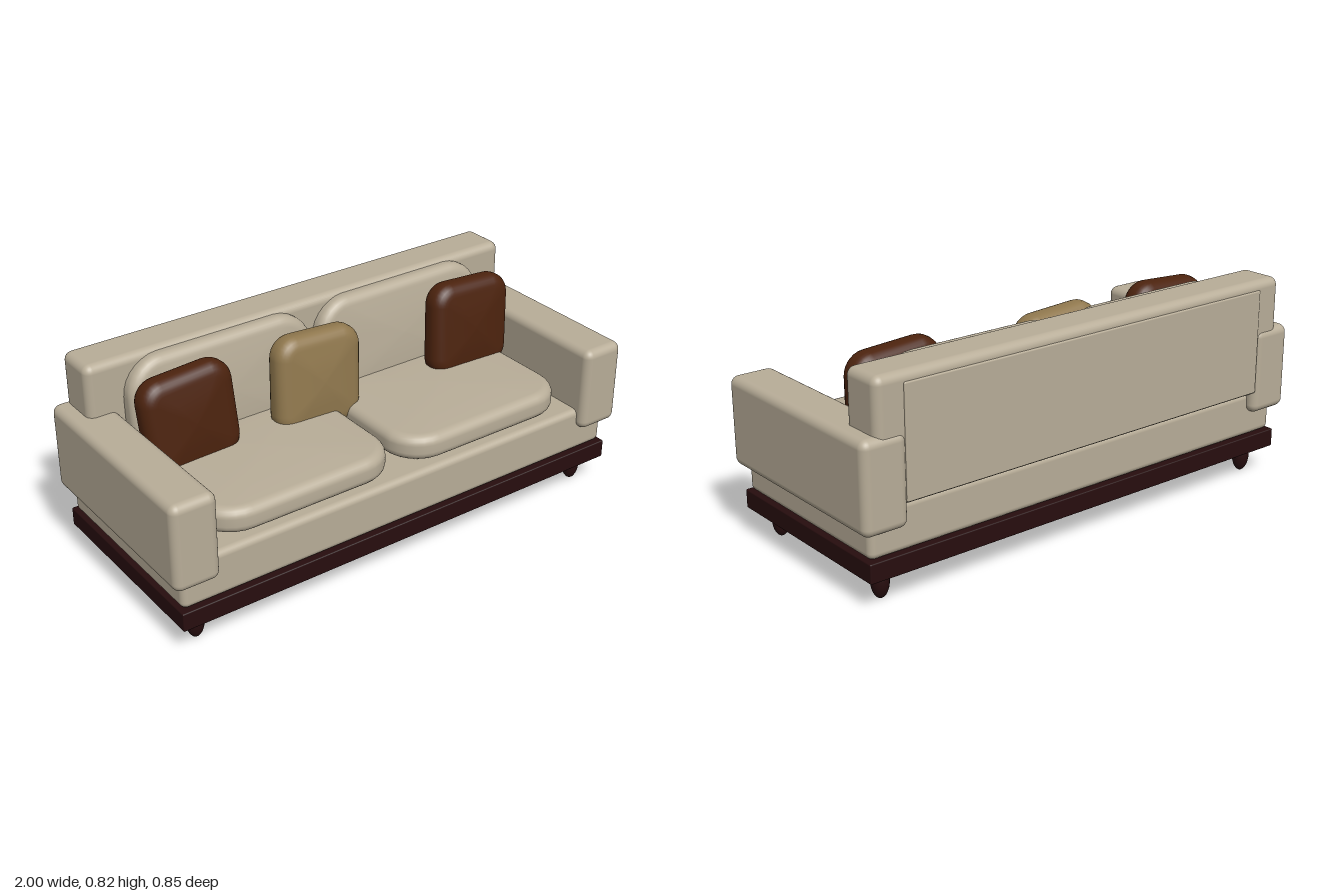
import * as THREE from 'three';
import { RoundedBoxGeometry } from 'three/addons/geometries/RoundedBoxGeometry.js';

const flat = (name, color) => {
  const m = new THREE.MeshStandardMaterial({ color });
  m.name = name;
  return m;
};

// Soft cushion: rounded-rectangle rings in XY, rounded edge, gently domed faces along Z
function cushionGeometry(w, h, d, corner, edge, puff) {
  const rings = [];
  const steps = 6;
  const dome = [0.66, 0.33, 0.02];
  const half = d / 2 - puff;
  const front = [];
  for (let i = 0; i <= steps; i++) {
    const a = (i / steps) * Math.PI / 2;
    front.push({ inset: edge * (1 - Math.cos(a)), z: half - edge * 0.9 + edge * 0.9 * Math.sin(a), s: 1 });
  }
  for (const s of dome) front.push({ inset: edge, z: half + puff * (1 - s * s), s });
  for (const p of [...front].reverse()) rings.push({ ...p, z: -p.z });
  rings.push(...front);

  const pos = [], idx = [], per = 8, n = per * 4;
  for (const { inset, z, s } of rings) {
    const r = corner - inset;
    for (let k = 0; k < n; k++) {
      const q = Math.floor(k / per);
      const a = (q + (k % per) / (per - 1)) * Math.PI / 2;
      const sx = q === 0 || q === 3 ? 1 : -1, sy = q < 2 ? 1 : -1;
      pos.push(s * (sx * (w / 2 - corner) + r * Math.cos(a)), s * (sy * (h / 2 - corner) + r * Math.sin(a)), z);
    }
  }
  for (let j = 0; j < rings.length - 1; j++) {
    for (let k = 0; k < n; k++) {
      const a = j * n + k, b = j * n + (k + 1) % n;
      idx.push(a, b, b + n, a, b + n, a + n);
    }
  }
  // close the small centres
  const last = (rings.length - 1) * n;
  for (let k = 1; k < n - 1; k++) idx.push(0, k + 1, k, last, last + k, last + k + 1);
  const g = new THREE.BufferGeometry();
  g.setAttribute('position', new THREE.Float32BufferAttribute(pos, 3));
  g.setIndex(idx);
  g.computeVertexNormals();
  return g;
}

export function createModel() {
  const sofa = new THREE.Group();
  sofa.name = 'sofa';
  const fabric = flat('beige fabric', 0xb8ad98);
  const brown = flat('brown fabric', 0x4c230e);
  const tan = flat('tan fabric', 0x8f774d);
  const wood = flat('dark wood', 0x270d0e);

  const add = (name, geometry, material, x, y, z) => {
    const mesh = new THREE.Mesh(geometry, material);
    mesh.name = name;
    mesh.position.set(x, y, z);
    sofa.add(mesh);
    return mesh;
  };
  // rounded block given by its limits
  const block = (name, material, [x0, x1], [y0, y1], [z0, z1], r) =>
    add(name, new RoundedBoxGeometry(x1 - x0, y1 - y0, z1 - z0, 4, r), material,
      (x0 + x1) / 2, (y0 + y1) / 2, (z0 + z1) / 2);

  // frame
  block('plinth', wood, [-0.97, 0.97], [0.107, 0.18], [-0.402, 0.405], 0.005);
  block('seatBase', fabric, [-0.96, 0.96], [0.18, 0.36], [-0.388, 0.39], 0.025);
  block('backrest', fabric, [-0.94, 0.94], [0.355, 0.82], [-0.418, -0.24], 0.032);
  block('backPanel', fabric, [-0.83, 0.83], [0.37, 0.785], [-0.424, -0.40], 0.006);

  // legs
  const legGeometry = new THREE.SphereGeometry(1, 20, 14).scale(0.034, 0.07, 0.034);
  for (const x of [-0.88, 0.88])
    for (const z of [-0.318, 0.32]) add('leg', legGeometry, wood, x, 0.07, z);

  // arms, seat cushions and back cushions, left and right
  const seatGeometry = cushionGeometry(0.78, 0.63, 0.118, 0.15, 0.04, 0.008);
  const backGeometry = cushionGeometry(0.78, 0.42, 0.12, 0.14, 0.04, 0.01);
  for (const s of [-1, 1]) {
    const side = s > 0 ? 'left' : 'right';
    block(side + 'Arm', fabric, s > 0 ? [0.822, 1] : [-1, -0.822], [0.28, 0.62], [-0.426, 0.426], 0.032);
    const x = s * 0.405 - 0.005;
    add(side + 'SeatCushion', seatGeometry, fabric, x, 0.416, 0.05).rotation.x = -Math.PI / 2;
    add(side + 'BackCushion', backGeometry, fabric, x, 0.597, -0.222).rotation.x = -0.09;
  }

  // loose pillows
  const pillowGeometry = cushionGeometry(0.372, 0.385, 0.135, 0.085, 0.052, 0.012);
  const pillow = (name, material, x, y, roll) =>
    add(name, pillowGeometry, material, x, y, -0.076).rotation.set(-0.09, 0, roll);
  pillow('rightPillow', brown, -0.638, 0.604, 0.06);
  pillow('middlePillow', tan, -0.092, 0.592, -0.06);
  pillow('leftPillow', brown, 0.635, 0.604, -0.06);

  return sofa;
}
